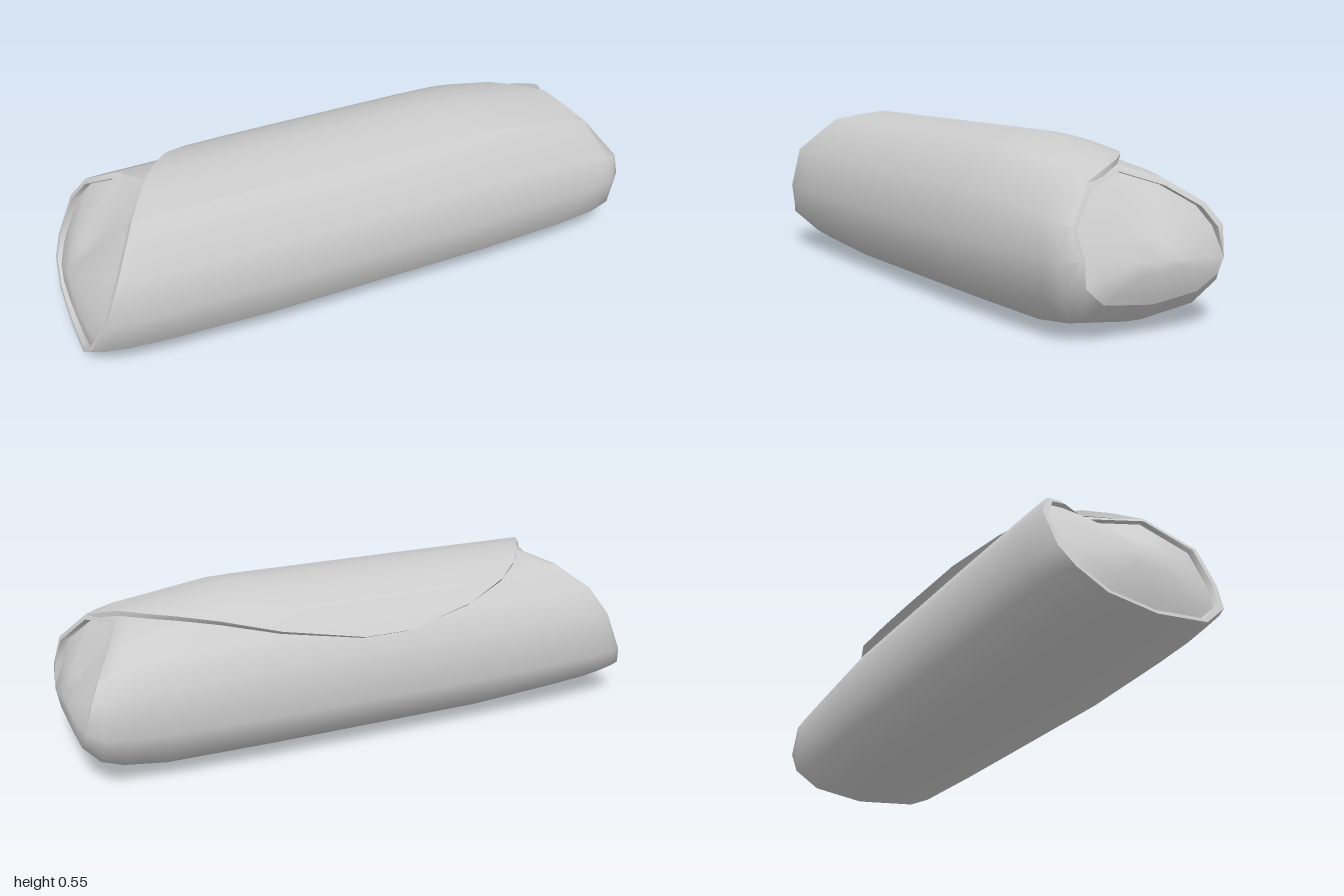
import * as THREE from 'three';
import { toCreasedNormals } from 'three/addons/utils/BufferGeometryUtils.js';

const material = new THREE.MeshStandardMaterial({ color: 0xcccccc, side: THREE.DoubleSide });
const MID_Y = 0.25;

// Cross-section of the roll: z, y, x of the left cut, x of the right cut
const SECTION = [
  [0, 0.522, -0.68, 0.81], [0.17, 0.512, -0.78, 0.88], [0.3, 0.39, -0.87, 0.955],
  [0.322, 0.235, -0.93, 0.985], [0.31, 0.11, -0.982, 0.99], [0.22, 0.025, -0.998, 0.985],
  [0, 0, -1, 0.98], [-0.2, 0.025, -0.998, 0.985], [-0.3, 0.095, -0.984, 0.99],
  [-0.325, 0.175, -0.955, 0.987], [-0.31, 0.33, -0.89, 0.965], [-0.25, 0.42, -0.84, 0.93],
  [-0.14, 0.49, -0.76, 0.87],
];

// Rows of the loose flap, from the front over the top to the back: z, y, left x, right x
const FLAP = [
  [0.17, 0.512, -0.78, 0.88], [0.08, 0.533, -0.73, 0.845], [0, 0.547, -0.68, 0.81],
  [-0.08, 0.535, -0.63, 0.73], [-0.14, 0.52, -0.58, 0.65], [-0.2, 0.487, -0.5, 0.53],
  [-0.27, 0.44, -0.33, 0.35], [-0.312, 0.395, -0.08, 0.08],
];

// Tapers toward the ends, as x / scale pairs
const TAPER_Z = [[-1, 0.82], [-0.97, 0.88], [-0.92, 0.94], [-0.8, 0.98], [-0.4, 1],
  [0.4, 1], [0.93, 0.94], [0.97, 0.87], [1, 0.74]];
const TAPER_TOP = [[-1, 1], [0.45, 1], [0.81, 0.81], [0.88, 0.72], [0.955, 0.6], [1, 0.5]];
const TAPER_BOTTOM = [[-1, 0.87], [-0.42, 1], [0.76, 1], [0.92, 0.88], [0.99, 0.58], [1, 0.55]];

function lookup(table, x) {
  for (let i = 1; i < table.length; i++) {
    const [x0, v0] = table[i - 1];
    const [x1, v1] = table[i];
    if (x <= x1) return THREE.MathUtils.lerp(v0, v1, Math.max(0, (x - x0) / (x1 - x0)));
  }
  return table[table.length - 1][1];
}

function tapered(x, y, z) {
  const dy = y - MID_Y;
  const scaleY = lookup(dy > 0 ? TAPER_TOP : TAPER_BOTTOM, x);
  return new THREE.Vector3(x, MID_Y + dy * scaleY, z * lookup(TAPER_Z, x));
}

// Joins closed rings of equal length into a smooth skin
function loft(name, rings, crease) {
  const positions = [];
  const tri = (a, b, c) => {
    if (new THREE.Triangle(a, b, c).getArea() > 1e-8) {
      for (const p of [a, b, c]) positions.push(p.x, p.y, p.z);
    }
  };
  for (let r = 0; r < rings.length - 1; r++) {
    const a = rings[r], b = rings[r + 1], n = a.length;
    for (let i = 0; i < n; i++) {
      const j = (i + 1) % n;
      tri(a[i], a[j], b[i]);
      tri(a[j], b[j], b[i]);
    }
  }
  const geometry = new THREE.BufferGeometry();
  geometry.setAttribute('position', new THREE.Float32BufferAttribute(positions, 3));
  const mesh = new THREE.Mesh(toCreasedNormals(geometry, crease), material);
  mesh.name = name;
  return mesh;
}

const bodyRing = (t) => SECTION.map(([z, y, xl, xr]) => tapered(xl + (xr - xl) * t, y, z));

// Ring inside an end: rim shrunk toward a centre and pushed along x
function endRing(rim, centre, factor, push) {
  return rim.map((p, i) => {
    const f = typeof factor === 'function' ? factor(i) : factor;
    const q = centre.clone().lerp(p, f);
    q.x += typeof push === 'function' ? push(i) : push;
    return q;
  });
}

export function createModel() {
  const group = new THREE.Group();
  group.name = 'wrappedRoll';

  const left = bodyRing(0), right = bodyRing(1);
  const leftCentre = new THREE.Vector3(-0.93, 0.24, 0);
  const rightCentre = new THREE.Vector3(0.97, 0.22, 0);

  // The left lip runs all round; the right one only over the upper half
  const isUpper = (i) => SECTION[i][1] > 0.2;
  const rightInset = (i) => (isUpper(i) ? 0.93 : 1);
  const leftLip = endRing(left, leftCentre, 0.94, 0);
  const leftSeat = endRing(left, leftCentre, 0.93, 0.02);
  const rightLip = endRing(right, rightCentre, rightInset, 0);
  const rightSeat = endRing(right, rightCentre, rightInset, (i) => (isUpper(i) ? -0.025 : 0));

  // Outer wrap with its turned-in lips
  const stations = [0, 0.02, 0.06, 0.13, 0.3, 0.5, 0.7, 0.8, 0.87, 0.94, 0.975, 1];
  group.add(loft('wrap', [leftSeat, leftLip, ...stations.map(bodyRing), rightLip, rightSeat], 1.0));

  // Bulging folded ends
  const steps = [0, 0.3, 0.55, 0.78];
  const face = (seat, centre, bulge) =>
    steps.map((f) => endRing(seat, centre, f, bulge * (1 - f * f)));
  group.add(loft('leftEndFold', [...face(leftSeat, leftCentre, -0.05), leftSeat], 1.2));
  group.add(loft('rightEndFold', [rightSeat, ...face(rightSeat, rightCentre, 0.03).reverse()], 1.2));

  // Loose flap: a thin sheet whose curved edge hangs over the back
  const columns = 16;
  const flapRows = FLAP.map(([z, y, xl, xr]) => {
    const line = (s) => Array.from({ length: columns + 1 }, (_, i) =>
      tapered(xl + (xr - xl) * i / columns, MID_Y + (y - MID_Y) * s, z * s));
    return [...line(1), ...line(0.93).reverse()];
  });
  // Closes the hanging edge between the outer and inner skin
  const last = flapRows[flapRows.length - 1];
  const edge = last.map((p, i) => p.clone().lerp(last[last.length - 1 - i], 0.5));
  group.add(loft('flap', [...flapRows, edge], 0.9));

  return group;
}
